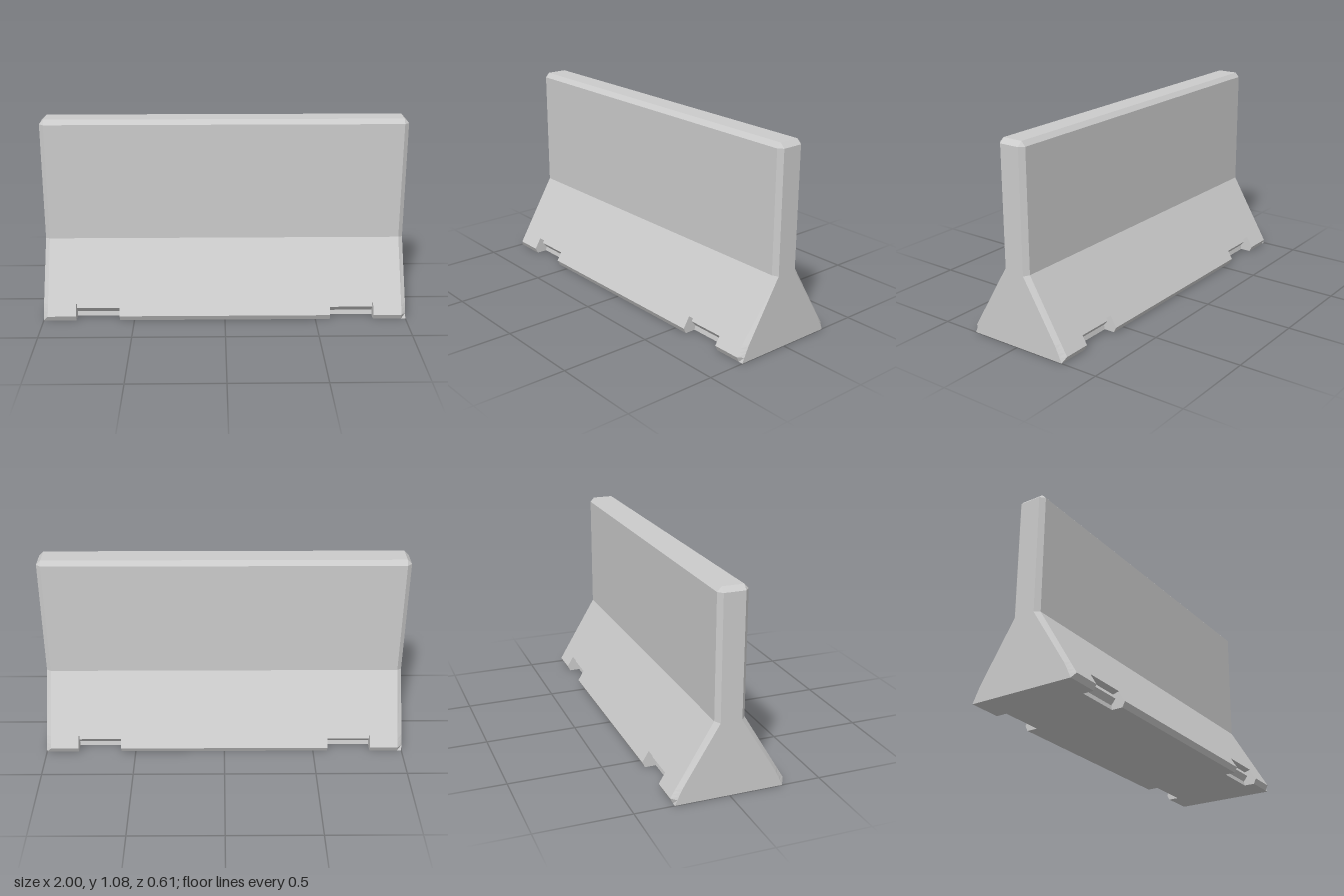
import * as THREE from 'three';

// Half cross-sections as [z, y], running from the foot to the top
const upper = [[0.08, 0.405], [0.08, 1.055], [0.057, 1.08]];
const main = [[0.29, 0], [0.305, 0.03], [0.293, 0.05], [0.281, 0.07], [0.269, 0.09], ...upper];
const notch = [[0.23, 0], [0.225, 0.025], [0.25, 0.055], [0.235, 0.08], [0.269, 0.09], ...upper];
const end = [[0.29, 0], [0.277, 0.028], [0.268, 0.048], [0.259, 0.066], [0.25, 0.085],
  [0.057, 0.4], [0.057, 1.055], [0.057, 1.055]];

// Stations along the length; a repeated x makes an upright notch wall
const rightHalf = [[-1, end], [-0.975, main], [-0.82, main], [-0.82, notch], [-0.58, notch], [-0.58, main]];
const stations = [...rightHalf, ...rightHalf.map(([x, p]) => [-x, p]).reverse()];

// Full closed loop from a half section
function ring([x, half]) {
  const front = half.map(([z, y]) => [x, y, z]);
  const back = half.map(([z, y]) => [x, y, -z]).reverse();
  return [...front, ...back];
}

function bodyGeometry() {
  const positions = [];
  const quad = (a, b, c, d) => positions.push(...a, ...b, ...c, ...a, ...c, ...d);
  const rings = stations.map(ring);
  const n = rings[0].length;

  // Skin between neighbouring sections
  for (let s = 0; s < rings.length - 1; s++) {
    for (let i = 0; i < n; i++) {
      const j = (i + 1) % n;
      quad(rings[s][i], rings[s + 1][i], rings[s + 1][j], rings[s][j]);
    }
  }

  // End faces, filled in strips from front to back
  const first = rings[0], last = rings[rings.length - 1];
  for (let i = 0; i < n / 2 - 1; i++) {
    quad(last[i], last[n - 1 - i], last[n - 2 - i], last[i + 1]);
    quad(first[n - 1 - i], first[i], first[i + 1], first[n - 2 - i]);
  }

  const geometry = new THREE.BufferGeometry();
  geometry.setAttribute('position', new THREE.Float32BufferAttribute(positions, 3));
  geometry.computeVertexNormals();
  return geometry;
}

export function createModel() {
  const group = new THREE.Group();
  group.name = 'concreteBarrier';
  const material = new THREE.MeshStandardMaterial({ color: 0xcccccc, flatShading: true });
  const body = new THREE.Mesh(bodyGeometry(), material);
  body.name = 'barrierBody';
  group.add(body);
  return group;
}
